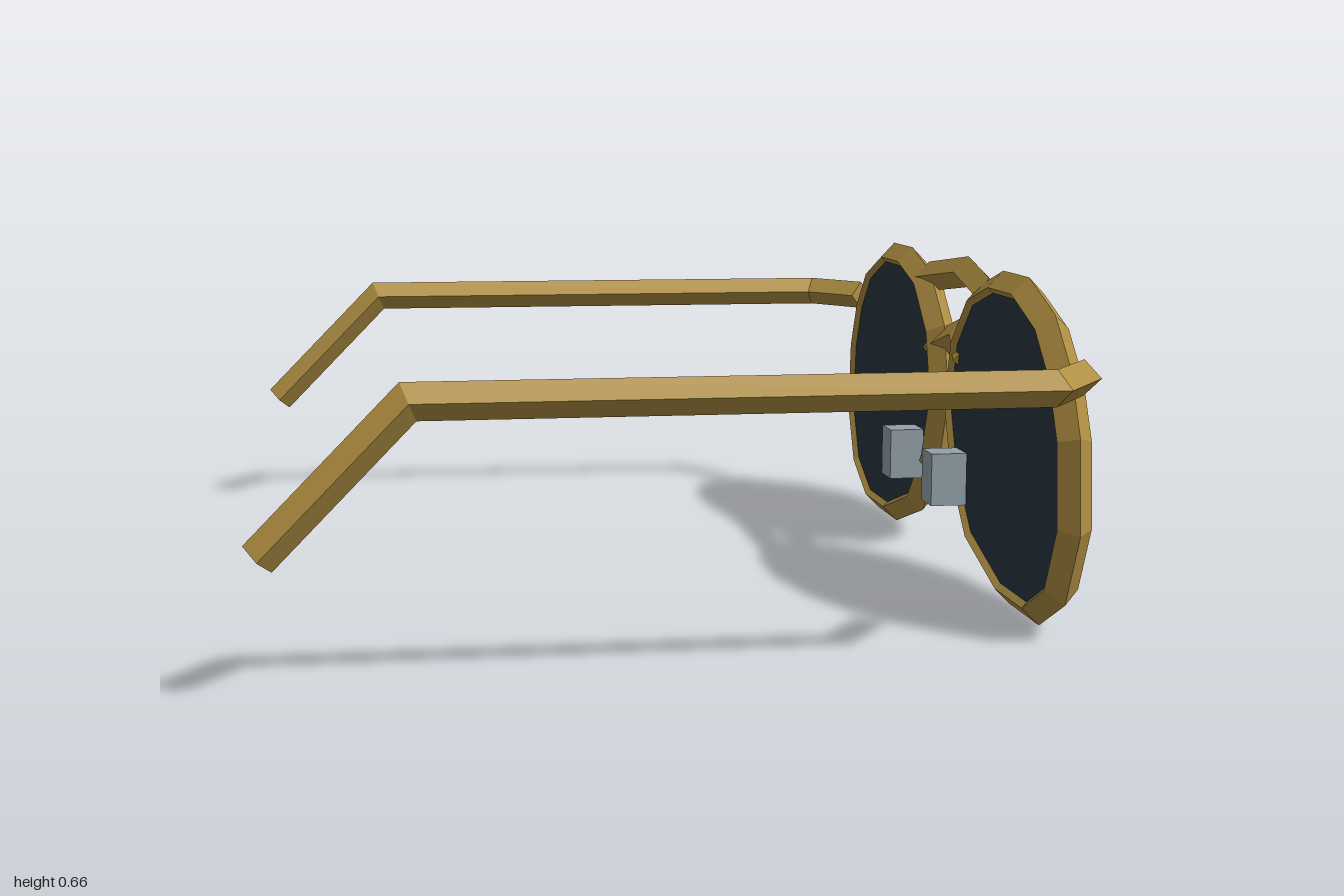
import * as THREE from 'three';

const R = 0.033;      // half diagonal of the square wire
const FRAME_X = 0.708;

const gold = new THREE.MeshStandardMaterial({ color: 0xb08f42 });
gold.name = 'gold metal';
const dark = new THREE.MeshStandardMaterial({ color: 0x28343e });
dark.name = 'dark lens';
const grey = new THREE.MeshStandardMaterial({ color: 0x95a1aa });
grey.name = 'pale grey';

const V = (x, y, z) => new THREE.Vector3(x, y, z);

// Sweeps a square wire, standing on its corner, along a mitred polyline
function wire(points, up, closed = false) {
  const n = points.length;
  const count = closed ? n : n - 1;
  const dirs = [];
  for (let i = 0; i < count; i++) dirs.push(points[(i + 1) % n].clone().sub(points[i]).normalize());
  const u = up.clone().addScaledVector(dirs[0], -up.dot(dirs[0])).normalize();
  const v = dirs[0].clone().cross(u);
  let ring = [u, v, u.clone().negate(), v.clone().negate()].map((c) => c.multiplyScalar(R).add(points[0]));

  // Slide a ring along d onto the mitre plane at point p
  const slide = (r, p, d, normal) => r.map((c) =>
    c.clone().addScaledVector(d, p.clone().sub(c).dot(normal) / d.dot(normal)));

  if (closed) ring = slide(ring, points[0], dirs[0], dirs[n - 1].clone().add(dirs[0]).normalize());
  const rings = [ring];
  for (let i = 1; i <= count; i++) {
    const d = dirs[i - 1];
    const next = closed ? dirs[i % n] : dirs[Math.min(i, count - 1)];
    rings.push(slide(rings[i - 1], points[i % n], d, d.clone().add(next).normalize()));
  }

  const pos = [];
  const tri = (...corners) => corners.forEach((c) => pos.push(c.x, c.y, c.z));
  for (let i = 0; i < count; i++) {
    for (let k = 0; k < 4; k++) {
      const m = (k + 1) % 4;
      const a = rings[i][k], b = rings[i][m], c = rings[i + 1][m], d = rings[i + 1][k];
      tri(a, b, c);
      tri(a, c, d);
    }
  }
  if (!closed) {
    const s = rings[0], e = rings[count];
    tri(s[0], s[3], s[2]); tri(s[0], s[2], s[1]);
    tri(e[0], e[1], e[2]); tri(e[0], e[2], e[3]);
  }
  const geo = new THREE.BufferGeometry();
  geo.setAttribute('position', new THREE.Float32BufferAttribute(pos, 3));
  geo.computeVertexNormals();
  return geo;
}

// Outer rim outline as [z, y], and its middle
const rim = [
  [0.503, 0.658], [0.337, 0.658], [0.182, 0.615], [0.064, 0.508], [0.021, 0.358],
  [0.085, 0.2], [0.209, 0.075], [0.44, 0.005], [0.626, 0.005], [0.765, 0.075],
  [0.834, 0.214], [0.818, 0.39], [0.759, 0.508], [0.663, 0.6],
];
const MID = [0.428, 0.331];
const outline = (s, side) => rim.map(([z, y]) =>
  [side * (MID[0] + (z - MID[0]) * s), MID[1] + (y - MID[1]) * s]);

export function createModel() {
  const model = new THREE.Group();
  model.name = 'sunglasses';
  const add = (name, geo, mat) => {
    const mesh = new THREE.Mesh(geo, mat);
    mesh.name = name;
    model.add(mesh);
    return mesh;
  };

  for (const side of [1, -1]) {
    const tag = side > 0 ? 'right' : 'left';

    // Rim around the lens
    const loop = outline(0.91, side).map(([z, y]) => V(FRAME_X, y, z));
    add(tag + 'Rim', wire(loop, V(1, 0, 0), true), gold);

    // Lens plate
    const shape = new THREE.Shape(outline(0.9, side).map(([z, y]) => new THREE.Vector2(-z, y)));
    const lensGeo = new THREE.ExtrudeGeometry(shape, { depth: 0.044, bevelEnabled: false });
    lensGeo.rotateY(Math.PI / 2);
    add(tag + 'Lens', lensGeo, dark).position.x = FRAME_X - 0.022;

    // Slanted glint on the lens front
    const glint = add(tag + 'Glint', new THREE.BoxGeometry(0.006, 0.347, 0.083), grey);
    glint.position.set(FRAME_X + 0.024, 0.452, side * 0.35);
    glint.rotation.x = side * 0.588;

    // Nose pad
    add(tag + 'NosePad', new THREE.BoxGeometry(0.075, 0.11, 0.075), grey)
      .position.set(0.646, 0.214, side * 0.166);

    // Temple arm: hinge, straight run and ear hook
    add(tag + 'Temple', wire([
      V(0.708, 0.508, side * 0.822), V(0.612, 0.508, side * 0.957),
      V(-0.505, 0.508, side * 0.967), V(-0.757, 0.25, side * 0.969),
    ], V(0, 1, 0)), gold);
  }

  // Brow bar and nose bridge
  add('browBar', wire([V(0.716, 0.604, -0.223), V(0.739, 0.632, 0), V(0.716, 0.604, 0.223)], V(0, 1, 0)), gold);
  add('noseBridge', wire([V(0.706, 0.455, -0.125), V(0.733, 0.5, 0), V(0.706, 0.455, 0.125)], V(0, 1, 0)), gold);

  return model;
}
